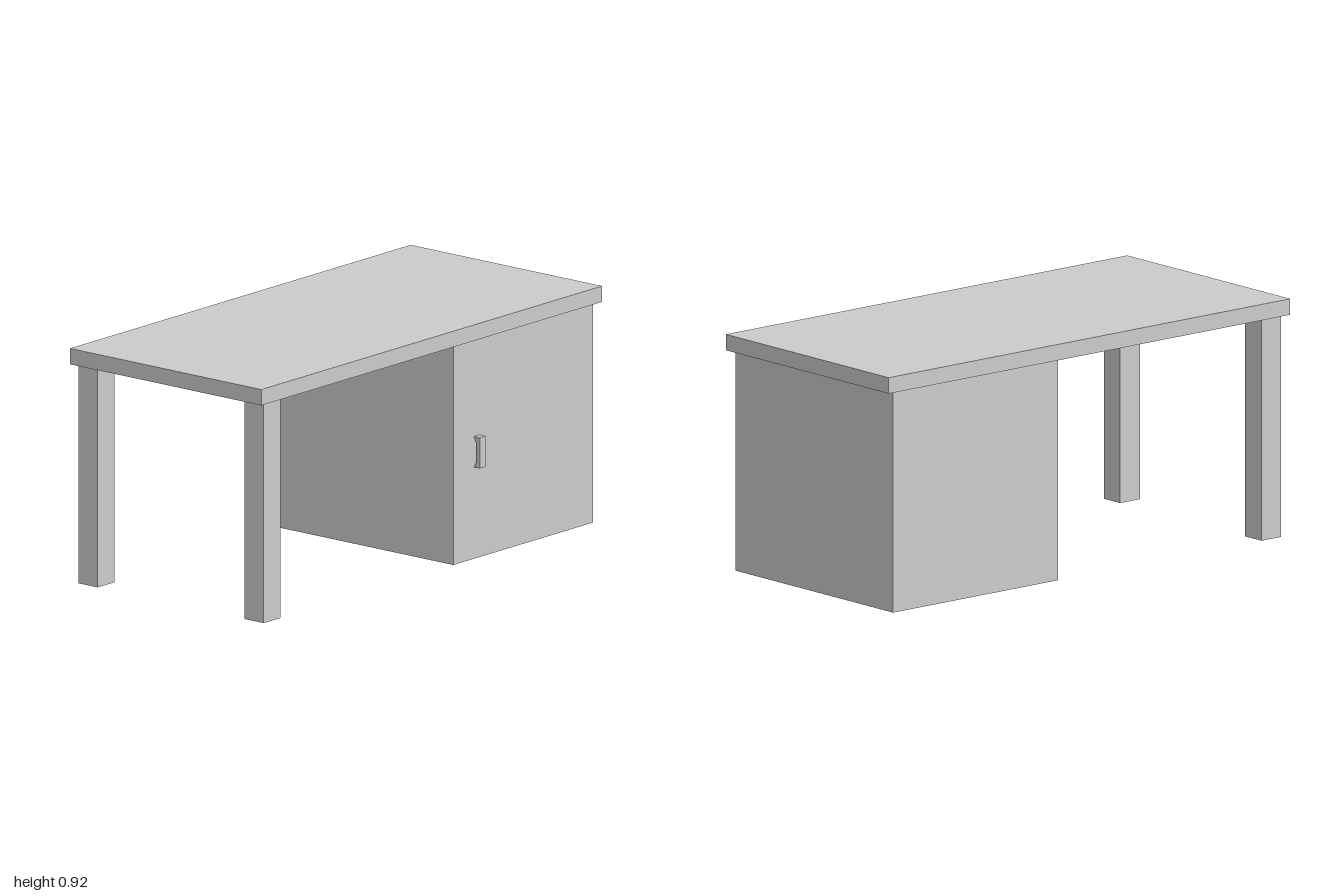
import * as THREE from 'three';

const material = new THREE.MeshStandardMaterial({ color: 0xcccccc, flatShading: true, side: THREE.DoubleSide });

// Box given by its limits; hollow ones keep only the four upright walls
function box(name, [x0, x1], [y0, y1], [z0, z1], hollow = false) {
  const geometry = new THREE.BoxGeometry(x1 - x0, y1 - y0, z1 - z0);
  if (hollow) {
    const index = Array.from(geometry.index.array);
    index.splice(12, 12);
    geometry.setIndex(index);
    geometry.clearGroups();
  }
  const mesh = new THREE.Mesh(geometry, material);
  mesh.name = name;
  mesh.position.set((x0 + x1) / 2, (y0 + y1) / 2, (z0 + z1) / 2);
  return mesh;
}

export function createModel() {
  const desk = new THREE.Group();
  desk.name = 'desk';

  // Top slab, overhanging the supports
  desk.add(box('tabletop', [-1, 1], [0.86, 0.922], [-0.48, 0.465]));

  // Storage cabinet, open underneath
  desk.add(box('cabinet', [0.145, 0.965], [0.002, 0.858], [-0.465, 0.45], true));

  // Two legs, open underneath
  for (const [name, z] of [['frontLeg', 0.355], ['backLeg', -0.465]]) {
    desk.add(box(name, [-0.968, -0.87], [0, 0.86], [z, z + 0.095], true));
  }

  // Door handle: side profile (z, y) with a bevelled finger gap
  const profile = new THREE.Shape([
    [0.48, 0.36], [0.48, 0.48], [0.45, 0.48], [0.463, 0.457], [0.463, 0.383], [0.45, 0.36],
  ].map(([z, y]) => new THREE.Vector2(-z, y)));
  const handleGeometry = new THREE.ExtrudeGeometry(profile, { depth: 0.034, bevelEnabled: false });
  handleGeometry.rotateY(Math.PI / 2);
  const handle = new THREE.Mesh(handleGeometry, material);
  handle.name = 'doorHandle';
  handle.position.x = 0.265;
  desk.add(handle);

  return desk;
}
